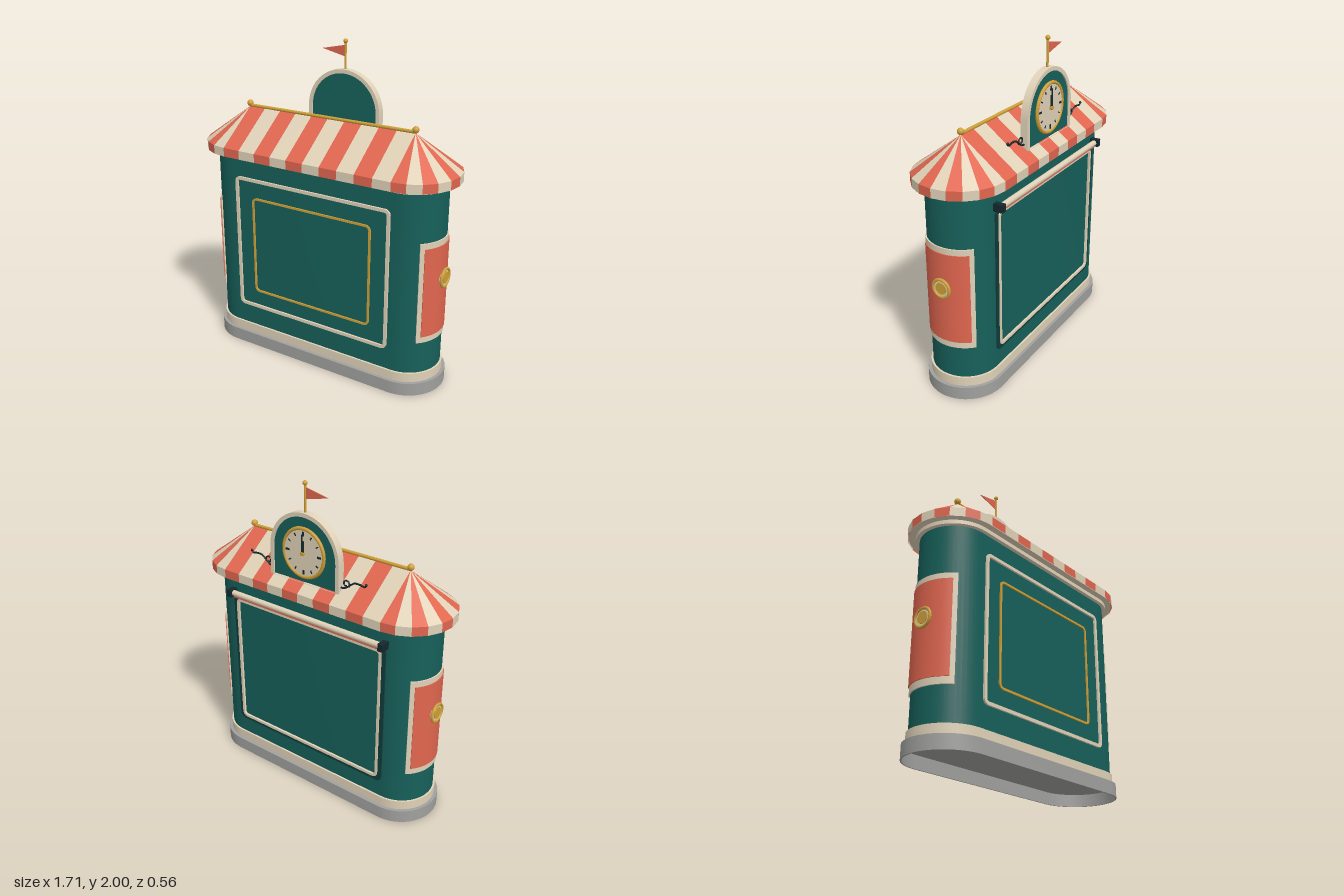
import * as THREE from 'three';
import { toCreasedNormals } from 'three/addons/utils/BufferGeometryUtils.js';

const mat = (color, side = THREE.FrontSide) => new THREE.MeshStandardMaterial({ color, side });
const teal = mat(0x17605a), cream = mat(0xe0d2b8), red = mat(0xe0664f), gold = mat(0xd0a038);
const dark = mat(0x14282c), deepTeal = mat(0x0f3c3a);
const L = 0.575; // half length of the straight walls

function add(parent, name, geo, material, x = 0, y = 0, z = 0) {
  const m = new THREE.Mesh(geo, material);
  m.name = name;
  m.position.set(x, y, z);
  parent.add(m);
  return m;
}

const extrude = (shape, depth, curveSegments = 12) =>
  toCreasedNormals(new THREE.ExtrudeGeometry(shape, { depth, bevelEnabled: false, curveSegments }), 0.6);

// Extrude a plan shape upward
const extrudeUp = (shape, h) => extrude(shape, h).rotateX(-Math.PI / 2);

// Long plan with round ends
function stadium(r) {
  const s = new THREE.Shape();
  s.absarc(L, 0, r, -Math.PI / 2, Math.PI / 2);
  s.absarc(-L, 0, r, Math.PI / 2, Math.PI * 1.5);
  s.closePath();
  return s;
}

function roundRect(target, w, y0, y1, r) {
  target.absarc(w - r, y0 + r, r, -Math.PI / 2, 0);
  target.absarc(w - r, y1 - r, r, 0, Math.PI / 2);
  target.absarc(-w + r, y1 - r, r, Math.PI / 2, Math.PI);
  target.absarc(-w + r, y0 + r, r, Math.PI, Math.PI * 1.5);
  target.closePath();
  return target;
}

// Rectangular moulding with rounded corners
function frame(w, y0, y1, t, depth, r = 0.035) {
  const s = roundRect(new THREE.Shape(), w, y0, y1, r);
  s.holes.push(roundRect(new THREE.Path(), w - t, y0 + t, y1 - t, Math.max(r - t, 0.008)));
  return extrude(s, depth, 6);
}

// Arch with straight legs
function arch(target, r, base, spring) {
  target.moveTo(-r, base);
  target.lineTo(r, base);
  target.lineTo(r, spring);
  target.absarc(0, spring, r, 0, Math.PI);
  target.closePath();
  return target;
}

// Curved plate hugging a round end
function curvedPlate(rIn, rOut, a, h) {
  const s = new THREE.Shape();
  s.absarc(L, 0, rOut, -a, a);
  s.absarc(L, 0, rIn, a, -a, true);
  s.closePath();
  return extrudeUp(s, h);
}

// Striped roof: slope and valance for every second stripe
function roofStripes(parity) {
  const pts = [], n = 10, R = 0.28;
  for (let i = 0; i < n; i++) pts.push([-L + 2 * L * i / n, R, -L + 2 * L * i / n]);
  for (let i = 0; i < n; i++) {
    const a = Math.PI * i / n;
    pts.push([L + R * Math.sin(a), R * Math.cos(a), L]);
  }
  const all = pts.concat(pts.map(([x, z, r]) => [-x, -z, -r]));
  const pos = [];
  all.forEach((p, i) => {
    if (i % 2 !== parity) return;
    const q = all[(i + 1) % all.length];
    const ring = ([x, z, r]) => [[x, 1.3, z], [x, 1.355, z], [r, 1.56, 0]];
    const A = ring(p), B = ring(q);
    for (let k = 0; k < 2; k++) {
      pos.push(...A[k], ...B[k], ...B[k + 1], ...A[k], ...B[k + 1], ...A[k + 1]);
    }
  });
  const g = new THREE.BufferGeometry();
  g.setAttribute('position', new THREE.Float32BufferAttribute(pos, 3));
  g.computeVertexNormals();
  return g;
}

const rod = (r, len, seg = 12) => new THREE.CylinderGeometry(r, r, len, seg);
const ball = r => new THREE.SphereGeometry(r, 16, 12);

function buildBody(g) {
  // Plinth is a hollow shell, open underneath
  const shell = stadium(0.24);
  shell.holes.push(new THREE.Path(stadium(0.232).getPoints(12)));
  const grey = mat(0xa0a09e);
  add(g, 'plinth', extrudeUp(shell, 0.08), grey);
  add(g, 'plinthTop', extrudeUp(stadium(0.24), 0.006), grey, 0, 0.076);
  add(g, 'skirting', extrudeUp(stadium(0.22), 0.06), cream, 0, 0.08);
  add(g, 'body', extrudeUp(stadium(0.208), 1.16), teal, 0, 0.13);
  add(g, 'cornice', extrudeUp(stadium(0.232), 0.025), cream, 0, 1.28);
  add(g, 'frontOuterFrame', frame(0.545, 0.275, 1.165, 0.02, 0.014), cream, 0, 0, 0.206);
  add(g, 'frontInnerFrame', frame(0.422, 0.392, 1.042, 0.013, 0.01), gold, 0, 0, 0.206);
}

function buildRoof(g) {
  add(g, 'roofRedStripes', roofStripes(0), mat(0xe0664f, THREE.DoubleSide));
  add(g, 'roofCreamStripes', roofStripes(1), mat(0xe0d2b8, THREE.DoubleSide));
  add(g, 'soffit', extrudeUp(stadium(0.272), 0.006), cream, 0, 1.304);
  add(g, 'ridgeRod', rod(0.01, 2 * L).rotateZ(Math.PI / 2), gold, 0, 1.565, 0);
  for (const s of [-1, 1]) add(g, 'ridgeBall', ball(0.02), gold, s * L, 1.578, 0);
}

function buildSide(s) {
  const g = new THREE.Group();
  g.name = s > 0 ? 'leftEndPanel' : 'rightEndPanel';
  add(g, 'panelBorder', curvedPlate(0.2, 0.216, 0.87, 0.635), cream, 0, 0.345);
  add(g, 'panel', curvedPlate(0.2, 0.221, 0.745, 0.56), red, 0, 0.385);
  const disc = (r, h) => new THREE.CylinderGeometry(r, r, h, 28).rotateZ(Math.PI / 2);
  add(g, 'medallionRim', new THREE.TorusGeometry(0.055, 0.009, 8, 28).rotateY(Math.PI / 2), gold, 0.803, 0.73);
  add(g, 'medallionFace', disc(0.054, 0.024), cream, 0.792, 0.73);
  add(g, 'medallionCentre', disc(0.036, 0.03), gold, 0.793, 0.73);
  g.rotation.y = s > 0 ? 0 : Math.PI;
  return g;
}

function buildBackWindow() {
  const g = new THREE.Group();
  g.name = 'backHatch';
  add(g, 'hatchSurround', frame(0.575, 0.25, 1.17, 0.028, 0.01), deepTeal, 0, 0, -0.216);
  add(g, 'hatchFrame', frame(0.55, 0.272, 1.15, 0.017, 0.016), cream, 0, 0, -0.222);
  add(g, 'awningRoll', rod(0.018, 1.12, 16).rotateZ(Math.PI / 2), cream, 0, 1.19, -0.238);
  add(g, 'awningHem', new THREE.BoxGeometry(1.1, 0.012, 0.014), red, 0, 1.168, -0.236);
  for (const s of [-1, 1]) add(g, 'awningBracket', new THREE.BoxGeometry(0.035, 0.046, 0.06), dark, s * 0.57, 1.19, -0.236);
  return g;
}

function buildClock() {
  const g = new THREE.Group();
  g.name = 'clockGable';
  const border = arch(new THREE.Shape(), 0.25, 1.4, 1.57);
  border.holes.push(arch(new THREE.Path(), 0.226, 1.402, 1.57));
  add(g, 'gableBorder', extrude(border, 0.046), cream, 0, 0, -0.218);
  add(g, 'gablePanel', extrude(arch(new THREE.Shape(), 0.235, 1.402, 1.57), 0.03), teal, 0, 0, -0.21);

  // Dial faces the back
  const dial = new THREE.Group();
  dial.name = 'dial';
  dial.position.set(0, 1.585, -0.21);
  dial.rotation.y = Math.PI;
  g.add(dial);
  add(dial, 'dialRim', new THREE.TorusGeometry(0.145, 0.011, 8, 40), gold, 0, 0, 0.005);
  add(dial, 'dialFace', new THREE.CylinderGeometry(0.142, 0.142, 0.012, 40).rotateX(Math.PI / 2), cream, 0, 0, 0.003);
  for (let i = 0; i < 12; i++) {
    const a = i * Math.PI / 6, big = i % 3 === 0;
    const tick = add(dial, 'hourMark', new THREE.BoxGeometry(big ? 0.012 : 0.007, big ? 0.026 : 0.018, 0.004), dark,
      0.115 * Math.sin(a), 0.115 * Math.cos(a), 0.01);
    tick.rotation.z = -a;
  }
  add(dial, 'minuteHand', new THREE.BoxGeometry(0.01, 0.125, 0.004), dark, 0, 0.052, 0.02);
  add(dial, 'hourHand', new THREE.BoxGeometry(0.018, 0.08, 0.004), dark, 0, 0.035, 0.015);
  add(dial, 'handHub', rod(0.012, 0.02).rotateX(Math.PI / 2), gold, 0, 0, 0.016);

  // Iron scrolls beside the gable
  for (const s of [-1, 1]) {
    const pts = [[0.245, 1.435], [0.275, 1.44], [0.305, 1.46], [0.34, 1.485], [0.38, 1.487], [0.41, 1.482], [0.422, 1.495]];
    const curl = [];
    for (let i = 0; i <= 10; i++) {
      const a = -0.6 + i * 0.62, r = 0.024 - i * 0.0013;
      curl.push(new THREE.Vector3(s * (0.285 + r * Math.cos(a)), 1.468 + r * Math.sin(a), -0.195));
    }
    const path = new THREE.CatmullRomCurve3(pts.map(([x, y]) => new THREE.Vector3(s * x, y, -0.195)));
    add(g, 'scroll', new THREE.TubeGeometry(path, 24, 0.0055, 6), dark);
    add(g, 'scrollCurl', new THREE.TubeGeometry(new THREE.CatmullRomCurve3(curl), 24, 0.005, 6), dark);
    add(g, 'scrollTip', ball(0.008), dark, s * 0.42, 1.495, -0.195);
  }

  // Pole and pennant
  add(g, 'flagPole', rod(0.007, 0.18), gold, 0, 1.895, -0.195);
  add(g, 'poleBall', ball(0.014), gold, 0, 1.986, -0.195);
  const flag = new THREE.Shape([[-0.005, 1.962], [-0.16, 1.93], [-0.005, 1.895]].map(p => new THREE.Vector2(...p)));
  add(g, 'pennant', extrude(flag, 0.004), red, 0, 0, -0.197);
  return g;
}

export function createModel() {
  const g = new THREE.Group();
  g.name = 'kiosk';
  buildBody(g);
  buildRoof(g);
  g.add(buildSide(1), buildSide(-1), buildBackWindow(), buildClock());
  return g;
}
